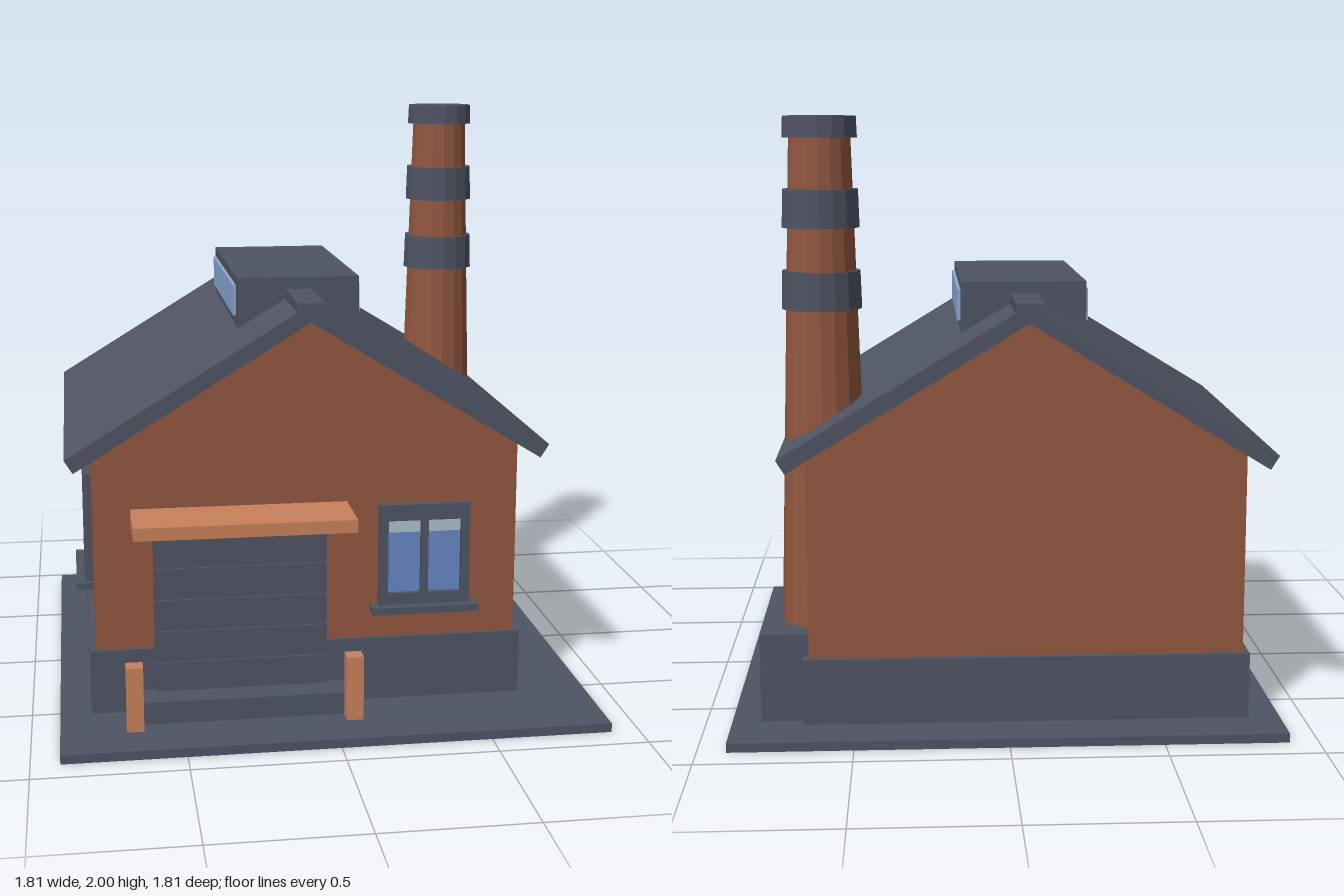
import * as THREE from 'three';

const mat = (name, color) => {
  const m = new THREE.MeshStandardMaterial({ color });
  m.name = name;
  return m;
};

export function createModel() {
  const brick = mat('brick', 0x91573f);
  const slate = mat('slate', 0x4f5463);
  const copper = mat('copper', 0xc9805b);
  const glass = mat('windowGlass', 0x6688c4);
  const glare = mat('glassGlare', 0xabc0cc);
  const skyGlass = mat('skylightGlass', 0x8aa6d2);

  const model = new THREE.Group();
  model.name = 'workshop';

  const add = (parent, name, geometry, material) => {
    const mesh = new THREE.Mesh(geometry, material);
    mesh.name = name;
    parent.add(mesh);
    return mesh;
  };
  // Box given by its low and high limit on each axis
  const box = (parent, name, material, [x0, x1], [y0, y1], [z0, z1]) => {
    const g = new THREE.BoxGeometry(x1 - x0, y1 - y0, z1 - z0);
    g.translate((x0 + x1) / 2, (y0 + y1) / 2, (z0 + z1) / 2);
    return add(parent, name, g, material);
  };
  // Outline in x and y, extruded from z0 to z1
  const prism = (name, material, points, z0, z1) => {
    const shape = new THREE.Shape(points.map(([x, y]) => new THREE.Vector2(x, y)));
    const g = new THREE.ExtrudeGeometry(shape, { depth: z1 - z0, bevelEnabled: false });
    g.translate(0, 0, z0);
    return add(model, name, g, material);
  };

  // Ground slab, plinth and gabled walls
  const ridgeX = -0.065;
  box(model, 'groundSlab', slate, [-0.905, 0.905], [0, 0.03], [-0.905, 0.905]);
  box(model, 'plinth', slate, [-0.8, 0.67], [0.03, 0.25], [-0.75, 0.585]);
  prism('walls', brick, [
    [-0.78, 0.04], [0.65, 0.04], [0.65, 0.915], [ridgeX, 1.352], [-0.78, 0.915],
  ], -0.73, 0.57);

  // Roof, ridge beam and skylight
  prism('roof', slate, [
    [ridgeX - 0.775, 0.88], [ridgeX, 1.355], [ridgeX + 0.775, 0.88],
    [ridgeX + 0.803, 0.925], [ridgeX, 1.415], [ridgeX - 0.803, 0.925],
  ], -0.81, 0.645);
  box(model, 'ridgeBeam', slate, [-0.11, -0.02], [1.365, 1.42], [-0.825, 0.655]);
  box(model, 'skylightBody', slate, [-0.273, 0.143], [1.29, 1.46], [-0.51, 0.34]);
  box(model, 'skylightPanes', skyGlass, [-0.284, 0.154], [1.325, 1.43], [-0.46, 0.29]);

  // Chimney foot, shaft, bands and cap
  const chimney = new THREE.Group();
  chimney.name = 'chimney';
  chimney.position.set(0.6, 0, -0.5);
  model.add(chimney);
  box(chimney, 'chimneyFoot', slate, [-0.21, 0.21], [0.03, 0.325], [-0.21, 0.21]);
  const ring = (name, material, rTop, rBottom, y0, y1) => {
    const g = new THREE.CylinderGeometry(rTop, rBottom, y1 - y0, 16).toNonIndexed();
    g.computeVertexNormals();
    g.translate(0, (y0 + y1) / 2, 0);
    add(chimney, name, g, material);
  };
  ring('chimneyShaft', brick, 0.1, 0.15, 0.3, 1.96);
  ring('lowerBand', slate, 0.128, 0.132, 1.375, 1.5);
  ring('upperBand', slate, 0.123, 0.127, 1.64, 1.765);
  ring('chimneyCap', slate, 0.119, 0.122, 1.93, 2);

  // Two-pane window facing +z, with its origin on the wall at floor height
  const addWindow = (name, x, z, turn, w, y0, y1, sillY, sillW) => {
    const win = new THREE.Group();
    win.name = name;
    win.position.set(x, 0, z);
    win.rotation.y = turn;
    model.add(win);
    const h = w / 2, rim = 0.03, top = y1 - 0.055, low = sillY + 0.04;
    box(win, 'frameTop', slate, [-h, h], [top, y1], [-0.01, 0.03]);
    box(win, 'frameBottom', slate, [-h, h], [y0, low], [-0.01, 0.03]);
    for (const s of [-1, 1]) {
      const c = s * (h - rim / 2);
      box(win, 'frameSide', slate, [c - rim / 2, c + rim / 2], [low, top], [-0.01, 0.03]);
    }
    box(win, 'mullion', slate, [-0.013, 0.013], [low, top], [-0.01, 0.027]);
    box(win, 'pane', glass, [rim - h, h - rim], [low, top - 0.045], [0.004, 0.012]);
    box(win, 'paneGlare', glare, [rim - h, h - rim], [top - 0.045, top], [0.004, 0.012]);
    box(win, 'sill', slate, [-sillW / 2, sillW / 2], [sillY - 0.025, sillY], [-0.01, 0.06]);
  };
  addWindow('frontWindow', 0.33, 0.57, 0, 0.31, 0.345, 0.72, 0.37, 0.365);
  addWindow('leftWindow', 0.65, -0.08, Math.PI / 2, 0.355, 0.31, 0.73, 0.335, 0.405);
  addWindow('rightWindow', -0.78, -0.08, -Math.PI / 2, 0.355, 0.31, 0.73, 0.335, 0.405);

  // Roller door with its slats
  box(model, 'doorBack', slate, [-0.585, -0.005], [0.1, 0.645], [0.56, 0.594]);
  const slats = 5, slatH = 0.545 / slats;
  for (let i = 0; i < slats; i++) {
    const y = 0.1 + i * slatH;
    box(model, 'doorSlat', slate, [-0.585, -0.005], [y + 0.004, y + slatH - 0.004], [0.59, 0.604]);
  }

  // Step, awning and bollards at the door
  box(model, 'doorStep', slate, [-0.68, 0.09], [0.03, 0.105], [0.57, 0.7]);
  box(model, 'awning', copper, [-0.657, 0.067], [0.69, 0.733], [0.56, 0.793]);
  for (const x of [-0.66, 0.068]) {
    box(model, 'bollard', copper, [x - 0.028, x + 0.028], [0.03, 0.25], [0.7, 0.757]);
  }

  return model;
}
